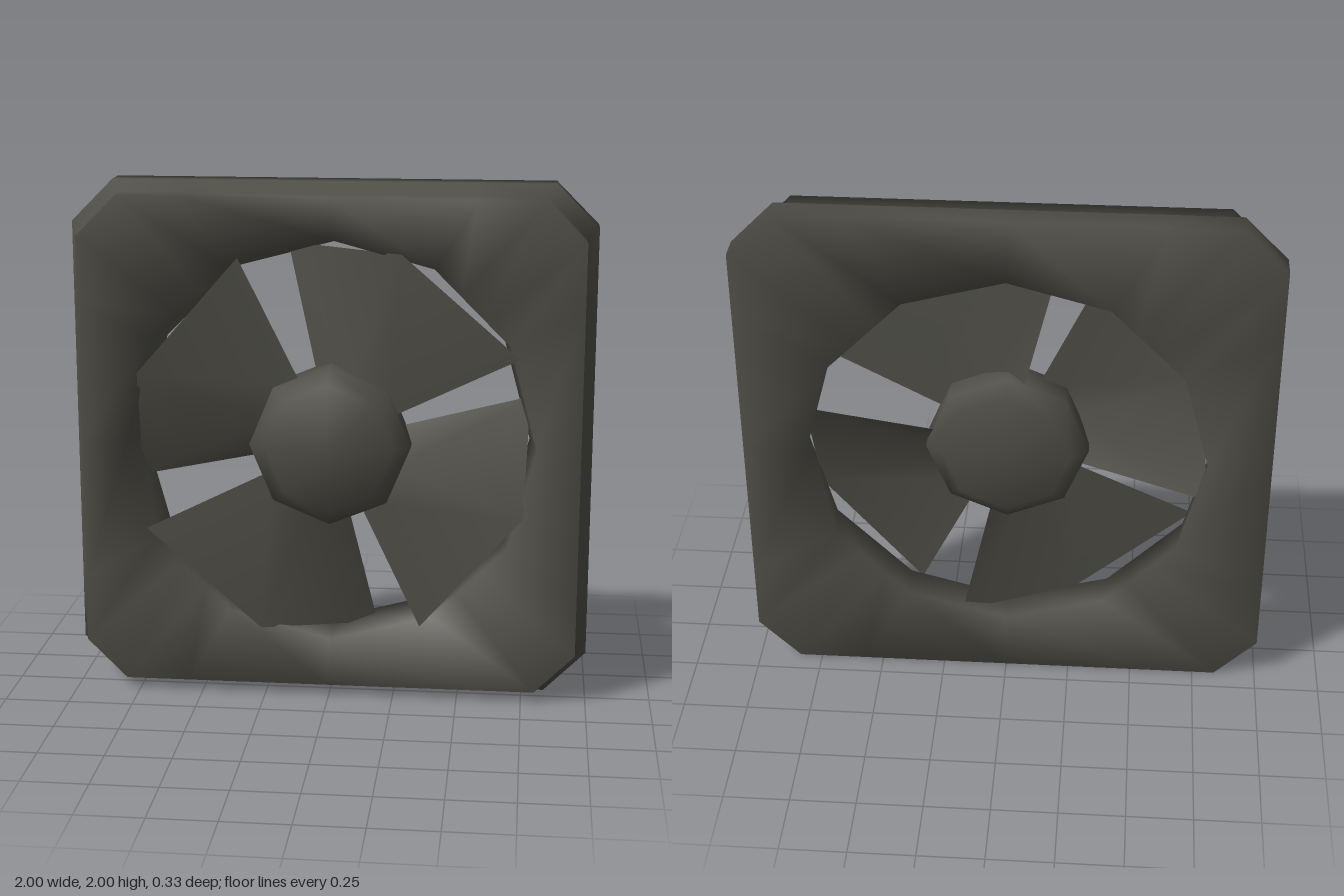
import * as THREE from 'three';

const DEG = Math.PI / 180;

// Radius at angle a of a square with cut corners, half-width h
function squareRadius(h, a) {
  const c = Math.abs(Math.cos(a)), s = Math.abs(Math.sin(a));
  return h * Math.min(1 / Math.max(c, s), 1.838 / (c + s));
}

// Radius at angle a of a twelve-sided polygon
function openingRadius(r, a) {
  const step = 30 * DEG;
  return r * Math.cos(step / 2) / Math.cos((a % step) - step / 2);
}

function makeGeometry(positions, index) {
  const g = new THREE.BufferGeometry();
  g.setAttribute('position', new THREE.Float32BufferAttribute(positions, 3));
  g.setIndex(index);
  g.computeVertexNormals();
  return g;
}

// Closed ring profile: opening wall, dished front, stepped outer rim, flat back
function frameGeometry() {
  const corner = Math.atan2(0.838, 1);
  const angles = [];
  for (let i = 0; i < 12; i++) angles.push(i * 30 * DEG);
  for (let q = 0; q < 4; q++) angles.push(q * 90 * DEG + corner, (q + 1) * 90 * DEG - corner);
  angles.sort((a, b) => a - b);
  const rings = [
    [openingRadius, 0.76, -0.165],
    [openingRadius, 0.79, 0.015],
    [squareRadius, 0.955, 0.083],
    [squareRadius, 0.955, -0.035],
    [squareRadius, 1, -0.065],
    [squareRadius, 1, -0.165],
  ];
  const pos = [], index = [], n = angles.length;
  rings.forEach(([radius, size, z], i) => angles.forEach((a, j) => {
    const r = radius(size, a);
    pos.push(r * Math.cos(a), r * Math.sin(a), z);
    const i2 = (i + 1) % rings.length, j2 = (j + 1) % n;
    const p = i * n + j, q = i2 * n + j, s = i2 * n + j2, t = i * n + j2;
    index.push(p, q, s, p, s, t);
  }));
  return makeGeometry(pos, index);
}

// Bent sheet: each rib is [angle, outer radius, inner z, outer z]
function bladeGeometry() {
  const ribs = [[26, 0.8, 0.005, 0.03], [70, 0.79, 0.01, 0.04], [103, 0.78, -0.07, -0.13]];
  const pos = [], index = [];
  ribs.forEach(([deg, outer, zInner, zOuter], i) => {
    const c = Math.cos(deg * DEG), s = Math.sin(deg * DEG);
    pos.push(0.25 * c, 0.25 * s, zInner, outer * c, outer * s, zOuter);
    const k = i * 2;
    if (i < 2) index.push(k, k + 1, k + 3, k, k + 3, k + 2);
  });
  return makeGeometry(pos, index);
}

// Eight-sided hub, domed at both ends
function hubGeometry() {
  const rings = [[0.245, 0.083], [0.31, 0.04], [0.31, -0.09], [0.245, -0.135]];
  const pos = [], index = [];
  rings.forEach(([r, z], i) => {
    for (let j = 0; j < 8; j++) {
      const a = j * 45 * DEG;
      pos.push(r * Math.cos(a), r * Math.sin(a), z);
      const p = i * 8 + j, t = i * 8 + (j + 1) % 8;
      if (i === 0) index.push(32, p, t);
      if (i === 3) index.push(33, t, p);
      else index.push(p, p + 8, t + 8, p, t + 8, t);
    }
  });
  pos.push(0, 0, 0.165, 0, 0, -0.165);
  return makeGeometry(pos, index);
}

export function createModel() {
  const model = new THREE.Group();
  model.name = 'ventilationFan';
  const darkMetal = new THREE.MeshStandardMaterial({ color: 0x504f48, side: THREE.DoubleSide });
  darkMetal.name = 'darkMetal';

  const add = (name, geometry) => {
    const mesh = new THREE.Mesh(geometry, darkMetal);
    mesh.name = name;
    mesh.position.y = 1;
    model.add(mesh);
    return mesh;
  };

  add('frame', frameGeometry());
  add('hub', hubGeometry());
  const blade = bladeGeometry();
  for (let i = 0; i < 4; i++) add('blade' + (i + 1), blade).rotation.z = i * Math.PI / 2;
  return model;
}
